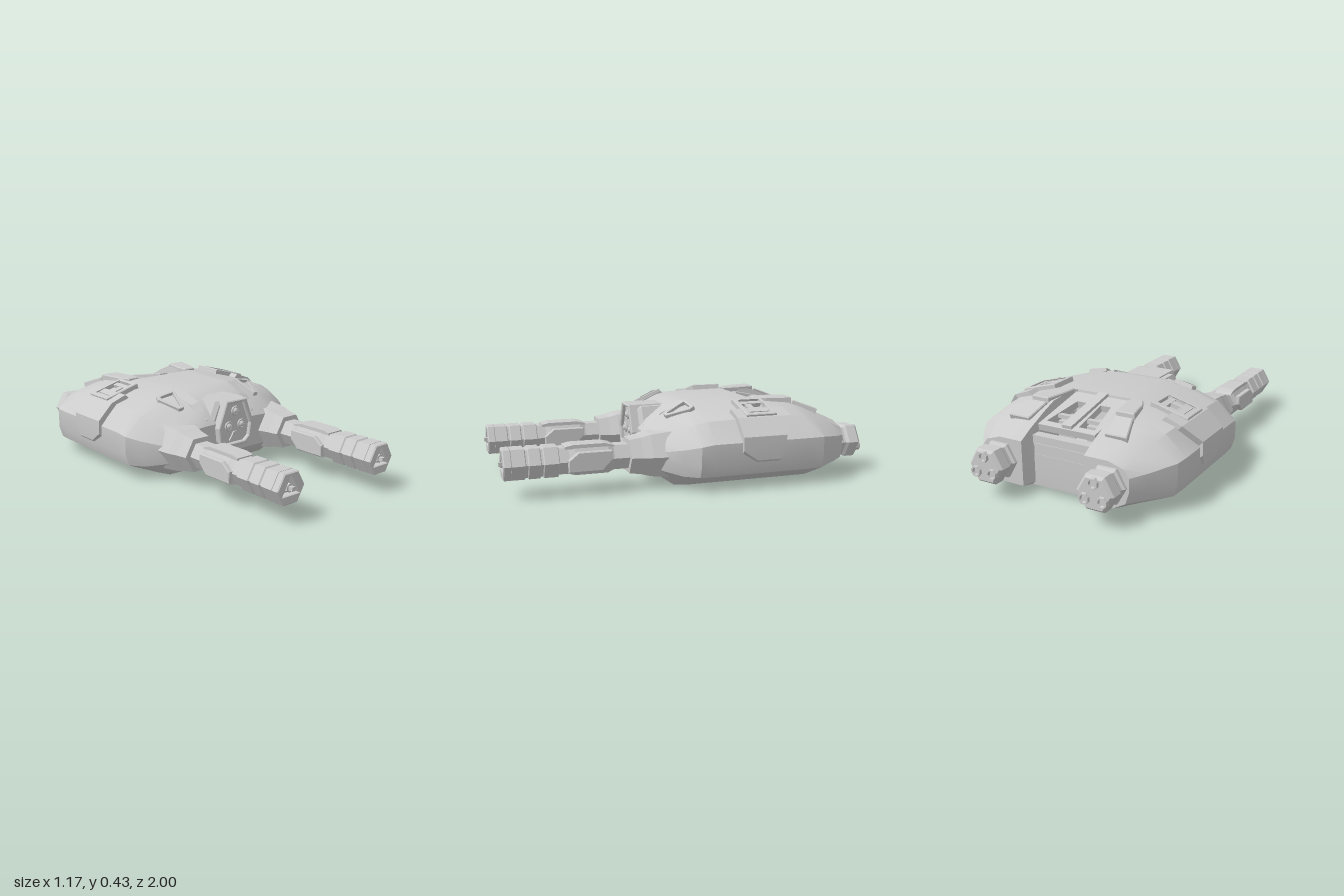
import * as THREE from 'three';
import { toCreasedNormals } from 'three/addons/utils/BufferGeometryUtils.js';

const smooth = new THREE.MeshStandardMaterial({ color: 0xcccccc, side: THREE.DoubleSide });
const flat = new THREE.MeshStandardMaterial({ color: 0xcccccc, side: THREE.DoubleSide, flatShading: true });

function add(parent, name, geo, x = 0, y = 0, z = 0, mat = flat) {
  const m = new THREE.Mesh(geo, mat);
  m.name = name;
  m.position.set(x, y, z);
  parent.add(m);
  return m;
}

// Skin over closed rings; caps are lists of ring indices, closed at both ends
function loft(rings, caps) {
  const n = rings[0].length, idx = [], last = (rings.length - 1) * n;
  for (let k = 0; k < rings.length - 1; k++) {
    for (let i = 0; i < n; i++) {
      const a = k * n + i, b = k * n + (i + 1) % n, c = b + n, d = a + n;
      idx.push(a, d, b, b, d, c);
    }
  }
  for (const p of caps) {
    for (let i = 1; i < p.length - 1; i++) {
      idx.push(p[0], p[i], p[i + 1], last + p[0], last + p[i + 1], last + p[i]);
    }
  }
  const g = new THREE.BufferGeometry();
  g.setAttribute('position', new THREE.Float32BufferAttribute(rings.flat(2), 3));
  g.setIndex(idx);
  g.computeVertexNormals();
  return g;
}

const shapeOf = (pts, holes = []) => {
  const s = new THREE.Shape(pts.map(p => new THREE.Vector2(...p)));
  for (const h of holes) s.holes.push(new THREE.Path(h.map(p => new THREE.Vector2(...p))));
  return s;
};
const extrude = (pts, depth, holes = [], bevel = 0) => new THREE.ExtrudeGeometry(shapeOf(pts, holes), {
  depth, bevelEnabled: bevel > 0, bevelSize: bevel, bevelThickness: bevel, bevelSegments: 1, bevelOffset: -bevel,
});
// Plate drawn in plan as [x, z] and raised in y
const plan = (pts, h, holes = [], bevel = 0) => {
  const flip = a => a.map(([x, z]) => [x, -z]);
  return extrude(flip(pts), h, holes.map(flip), bevel).rotateX(-Math.PI / 2);
};
// Mirror a half outline in x
const mirror = pts => [...pts, ...pts.map(([x, y]) => [-x, y]).reverse()];
// Six-sided turned part along z from [z, radius] pairs
const spindle = (pts, sides = 6) => new THREE.LatheGeometry(
  pts.map(([z, r]) => new THREE.Vector2(r, z)), sides, Math.PI / sides).rotateX(Math.PI / 2);
const ngon = (n, r, start = 0) => Array.from({ length: n }, (_, i) => {
  const a = start + i * 2 * Math.PI / n;
  return [r * Math.cos(a), r * Math.sin(a)];
});

// Hull cross-section; yc and zc place the recessed centre strip
function section([z, yb, xb, y1, xw, y2, s1x, s1y, s2x, s2y, yt, yc, zc = z]) {
  const half = [[0, yb, zc], [0.16, yb, zc], [0.18, yb, z], [xb, yb, z], [xw - 0.02, y1, z],
    [xw, y1 + 0.06, z], [xw, y2, z], [s1x, s1y, z], [s2x, s2y, z],
    [0.18, yt, z], [0.16, yc, zc], [0, yc, zc]];
  return [...half, ...half.slice(1, -1).reverse().map(([x, y, w]) => [-x, y, w])];
}

function buildHull() {
  const rings = [
    [0.23, 0.1, 0.22, 0.11, 0.38, 0.19, 0.36, 0.23, 0.27, 0.265, 0.27, 0.27],
    [0.19, 0.06, 0.26, 0.1, 0.43, 0.2, 0.39, 0.25, 0.28, 0.3, 0.32, 0.32],
    [0.1, 0, 0.33, 0.08, 0.51, 0.22, 0.43, 0.3, 0.29, 0.355, 0.375, 0.38],
    [0.03, 0, 0.36, 0.08, 0.565, 0.24, 0.46, 0.335, 0.31, 0.385, 0.405, 0.41],
    [-0.04, 0, 0.36, 0.08, 0.57, 0.25, 0.47, 0.35, 0.31, 0.4, 0.42, 0.423],
    [-0.39, 0, 0.36, 0.08, 0.57, 0.25, 0.47, 0.36, 0.31, 0.405, 0.42, 0.42],
    [-0.42, 0, 0.36, 0.08, 0.57, 0.25, 0.47, 0.36, 0.31, 0.405, 0.42, 0.24],
    [-0.58, 0, 0.36, 0.08, 0.57, 0.25, 0.46, 0.35, 0.31, 0.395, 0.41, 0.22],
    [-0.66, 0, 0.36, 0.08, 0.565, 0.25, 0.44, 0.33, 0.31, 0.37, 0.38, 0.21],
    [-0.785, 0.03, 0.34, 0.09, 0.48, 0.23, 0.41, 0.29, 0.31, 0.32, 0.325, 0.2],
    [-0.86, 0.05, 0.33, 0.09, 0.42, 0.22, 0.39, 0.26, 0.31, 0.285, 0.285, 0.2, -0.787],
  ].map(section);
  const caps = [[0, 1, 10, 11], [1, 2, 9, 10], [2, 3, 4, 5, 6, 7, 8, 9]];
  const left = caps.map(p => p.map(i => (22 - i) % 22).reverse());
  return toCreasedNormals(loft(rings, [...caps, ...left]), 0.45);
}

// Nose pod with framed face and three lenses
function buildNose(root) {
  const g = new THREE.Group();
  g.name = 'nose';
  root.add(g);
  const outer = mirror([[0.09, 0.055], [0.155, 0.26], [0.1, 0.385]]);
  const inner = mirror([[0.08, 0.135], [0.115, 0.17], [0.125, 0.25], [0.07, 0.392]]);
  const face = mirror([[0.06, 0.155], [0.09, 0.18], [0.1, 0.25], [0.05, 0.375]]);
  add(g, 'noseSurround', extrude(outer, 0.2, [], 0.02), 0, 0, 0);
  add(g, 'nosePod', extrude(inner, 0.25, [], 0.01), 0, 0, -0.015);
  add(g, 'noseFrame', extrude(inner, 0.025, [face], 0.005), 0, 0, 0.235);
  add(g, 'chin', new THREE.BoxGeometry(0.2, 0.05, 0.1), 0, 0.09, 0.16).rotation.x = 0.6;
  for (const [x, y] of [[0, 0.33], [0.045, 0.25], [-0.045, 0.25]]) {
    add(g, 'lensRim', new THREE.TorusGeometry(0.022, 0.006, 6, 12), x, y, 0.25);
    add(g, 'lens', new THREE.SphereGeometry(0.018, 12, 8), x, y, 0.248, smooth);
  }
  add(g, 'noseSensor', extrude([[-0.04, 0.17], [0.04, 0.17], [0.01, 0.215], [-0.01, 0.215]], 0.012), 0, 0, 0.242);
}

// Sloped rear deck with two windows, centre spine and tail beam
function buildDeck(root) {
  const win = [[0.04, -0.09], [0.1, -0.09], [0.14, -0.31], [0.05, -0.31]];
  const deck = plan(mirror([[0.165, 0], [0.165, -0.35]]), 0.035, [win, win.map(([x, z]) => [-x, z])]);
  add(root, 'rearDeck', deck, 0, 0.375, -0.39).rotation.x = -0.2;
  add(root, 'deckSpine', new THREE.BoxGeometry(0.055, 0.03, 0.35), 0, 0.378, -0.56).rotation.x = -0.2;
  add(root, 'tailBeam', new THREE.BoxGeometry(0.34, 0.05, 0.05), 0, 0.27, -0.755);
  add(root, 'tailPanel', new THREE.BoxGeometry(0.32, 0.09, 0.03), 0, 0.21, -0.77);
  for (const s of [1, -1]) {
    add(root, 'windowSill', new THREE.BoxGeometry(0.1, 0.08, 0.12), s * 0.085, 0.28, -0.55);
    add(root, 'windowBar', new THREE.BoxGeometry(0.1, 0.02, 0.025), s * 0.09, 0.35, -0.61);
  }
}

// Forward barrel
function buildBarrel(side) {
  const g = new THREE.Group();
  g.name = 'barrel';
  g.position.set(0.32, 0.177, 0);
  side.add(g);
  add(g, 'barrelSocket', spindle([[0.12, 0.14], [0.24, 0.125], [0.29, 0.11], [0.35, 0.1], [0.355, 0]]));
  add(g, 'barrelTube', spindle([[0.3, 0.072], [0.43, 0.072], [0.46, 0.086], [0.63, 0.086], [0.66, 0.076],
    [0.71, 0.076], [0.715, 0.088], [0.785, 0.088], [0.79, 0.08], [0.8, 0.08], [0.805, 0.088], [0.86, 0.088],
    [0.865, 0.08], [0.875, 0.08], [0.88, 0.088], [0.945, 0.088], [0.945, 0]]));
  add(g, 'muzzle', extrude(ngon(6, 0.088), 0.032, [ngon(3, 0.062, Math.PI / 2)], 0.005), 0, 0, 0.948);
  add(g, 'muzzleCore', new THREE.CylinderGeometry(0.022, 0.026, 0.035, 6).rotateX(Math.PI / 2), 0, 0, 0.96);
  add(g, 'muzzlePin', new THREE.BoxGeometry(0.02, 0.02, 0.05), 0, 0, 0.975);
  // Armour sleeve: top cover and cheek plates
  const cover = [[0.42, 0.06], [0.68, 0.06], [0.68, 0.072], [0.64, 0.08], [0.48, 0.08], [0.44, 0.07]]
    .map(([z, y]) => [-z, y]);
  add(g, 'sleeveCover', extrude(cover, 0.1).rotateY(Math.PI / 2), -0.05, 0, 0);
  const cheek = [[0.5, -0.05], [0.67, -0.05], [0.67, 0.01], [0.62, 0.05], [0.45, 0.05], [0.45, 0]]
    .map(([z, y]) => [-z, y]);
  for (const x of [-0.092, 0.072]) add(g, 'sleeveCheek', extrude(cheek, 0.02, [], 0.004).rotateY(Math.PI / 2), x, 0, 0);
}

// Rear thruster with three nozzles
function buildThruster(side) {
  const g = new THREE.Group();
  g.name = 'thruster';
  g.position.set(0.31, 0.17, 0);
  side.add(g);
  add(g, 'thrusterBody', spindle([[-0.985, 0], [-0.985, 0.085], [-0.97, 0.1], [-0.915, 0.1], [-0.9, 0.088],
    [-0.885, 0.088], [-0.875, 0.1], [-0.82, 0.1]]));
  for (const [x, y] of ngon(3, 0.055, Math.PI / 2)) {
    add(g, 'nozzle', spindle([[-0.985, 0], [-0.985, 0.018], [-1, 0.02], [-1, 0.028], [-0.97, 0.03]], 8), x, y, 0);
  }
}

// Side armour, latch, roof rail and front vent
function buildArmour(side) {
  const t = 0.035;
  const rows = [[0.58, 0.155, -0.4, -0.27], [0.585, 0.21, -0.43, -0.19], [0.585, 0.28, -0.43, -0.19],
    [0.5, 0.365, -0.49, -0.19], [0.41, 0.398, -0.49, -0.19]];
  const rings = rows.map(([x, y, a, b]) => [[x, y, a], [x, y, b], [x - t, y - t, b], [x - t, y - t, a]]);
  add(side, 'sidePlate', toCreasedNormals(loft(rings, [[0, 1, 2, 3]]), 0.4), 0, 0, 0, smooth);

  const latch = new THREE.Group();
  latch.name = 'latch';
  latch.position.set(0.385, 0.375, -0.33);
  latch.rotation.z = -0.27;
  side.add(latch);
  const rect = (w, d) => [[-w, -d], [w, -d], [w, d], [-w, d]];
  add(latch, 'latchFrame', plan(rect(0.105, 0.085), 0.03, [rect(0.085, 0.065)], 0.004));
  add(latch, 'latchBar', new THREE.BoxGeometry(0.12, 0.025, 0.035), 0, 0.016, 0.02);
  for (const x of [-0.05, 0.05]) add(latch, 'latchPost', new THREE.BoxGeometry(0.03, 0.028, 0.11), x, 0.016, 0);

  const rail = [[0.17, -0.4], [0.24, -0.4], [0.27, -0.46], [0.3, -0.6], [0.2, -0.6], [0.18, -0.5]];
  add(side, 'roofRail', plan(rail, 0.03, [], 0.005), 0, 0.393, 0);
  const tail = [[0.2, 0], [0.3, 0], [0.34, -0.14], [0.22, -0.14]];
  add(side, 'rearRail', plan(tail, 0.025, [], 0.005), 0, 0.383, -0.6).rotation.x = -0.36;

  // Vent rim lying on the sloped brow
  const vent = [[-0.06, -0.06], [0.05, -0.06], [0.06, -0.03], [0.005, 0.09], [-0.025, 0.09]];
  const hole = [[-0.045, -0.045], [0.04, -0.045], [0.043, -0.03], [-0.002, 0.075], [-0.018, 0.075]];
  const v = add(side, 'browVent', plan(vent, 0.022, [hole], 0.003), 0.275, 0.377, 0.035);
  v.rotation.set(0.4, 0, -0.2);

  // Brow ridge beside the nose
  const ridge = [[0.17, 0, 0.425], [0.15, 0.12, 0.38], [0.16, 0.21, 0.3], [0.15, 0.225, 0.14]];
  const ridgeRings = ridge.map(([x, z, y]) => [[x, y - 0.06, z - 0.03], [x, y, z], [x + 0.05, y - 0.015, z], [x + 0.05, y - 0.06, z - 0.03]]);
  add(side, 'browRidge', loft(ridgeRings, [[0, 1, 2, 3]]));
}

export function createModel() {
  const root = new THREE.Group();
  root.name = 'gunship';
  add(root, 'hull', buildHull(), 0, 0, 0, smooth);
  buildNose(root);
  buildDeck(root);
  for (const s of [1, -1]) {
    const side = new THREE.Group();
    side.name = s > 0 ? 'leftSide' : 'rightSide';
    side.scale.x = s;
    root.add(side);
    buildBarrel(side);
    buildThruster(side);
    buildArmour(side);
  }
  return root;
}
